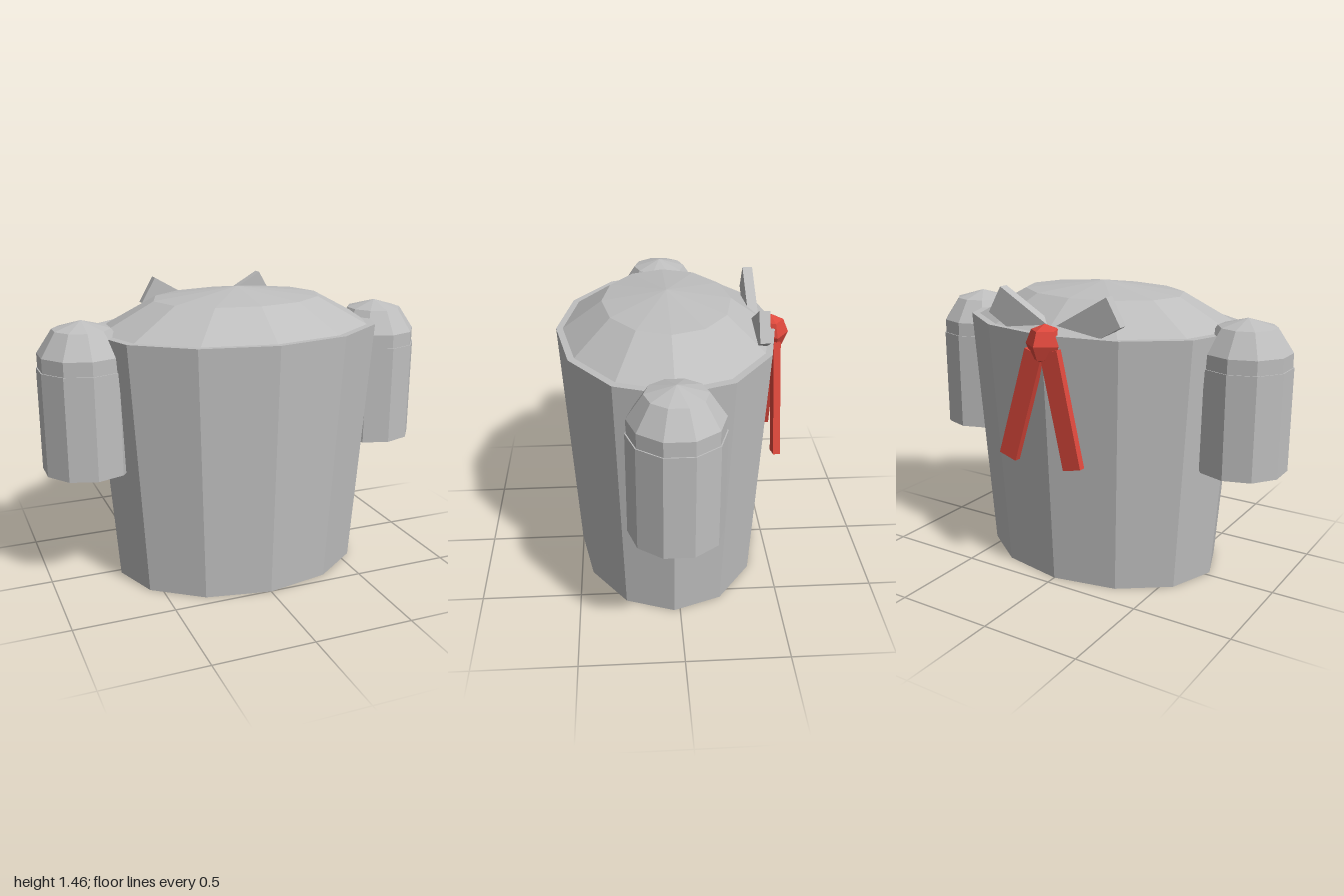
import * as THREE from 'three';

export function createModel() {
  const model = new THREE.Group();
  const grey = new THREE.MeshStandardMaterial({ color: 0xbebebe, flatShading: true });
  grey.name = 'light grey';
  const red = new THREE.MeshStandardMaterial({ color: 0xdd483c, flatShading: true });
  red.name = 'ribbon red';

  const add = (name, geometry, material, x, y, z) => {
    const mesh = new THREE.Mesh(geometry, material);
    mesh.name = name;
    mesh.position.set(x, y, z);
    model.add(mesh);
    return mesh;
  };
  const lathe = (points, sides) =>
    new THREE.LatheGeometry(points.map(([r, y]) => new THREE.Vector2(r, y)), sides);

  // Oval body, tapering towards the base
  const cz = 0.03;
  const body = lathe([[0, 0], [0.645, 0], [0.74, 1.27], [0, 1.27]], 12);
  body.scale(1, 0.735, 1).scale(1, 1 / 0.735, 0.735);
  add('body', body, grey, 0, 0, cz);

  // Shallow domed lid, set in slightly from the rim
  const lid = lathe([[0.705, 1.265], [0.43, 1.41], [0, 1.46]], 12);
  lid.scale(1, 1, 0.735);
  add('lid', lid, grey, 0, 0, cz);

  for (const side of [1, -1]) {
    const label = side > 0 ? 'left' : 'right';

    // Side pod: straight cylinder with a faceted dome
    add(label + 'Pod', lathe([[0, 0.61], [0.223, 0.61], [0.223, 1.12], [0, 1.12]], 10),
      grey, side * 0.787, 0, cz);
    add(label + 'PodDome', lathe([[0.217, 1.12], [0.217, 1.19], [0.14, 1.305], [0, 1.345]], 10),
      grey, side * 0.787, 0, cz);

    // Tilted bow loop
    const loop = add(label + 'BowLoop', new THREE.BoxGeometry(0.36, 0.15, 0.05), grey,
      side * 0.18, 1.305, -0.405);
    loop.rotation.z = side * Math.PI / 6;

    // Hanging ribbon, one slightly more spread than the other
    const angle = side > 0 ? 0.3 : -0.22;
    const length = 0.57;
    const endX = side > 0 ? 0.207 : -0.171;
    const ribbon = add(label + 'Ribbon', new THREE.BoxGeometry(0.1, length, 0.035), red,
      endX - Math.sin(angle) * length / 2, 0.645 + Math.cos(angle) * length / 2, -0.513);
    ribbon.rotation.z = angle;
  }

  // Faceted knot with one corner pointing backwards
  const knot = add('knot', new THREE.SphereGeometry(0.095, 5, 4), red, 0, 1.225, -0.485);
  knot.rotation.y = -Math.PI / 2;

  return model;
}
